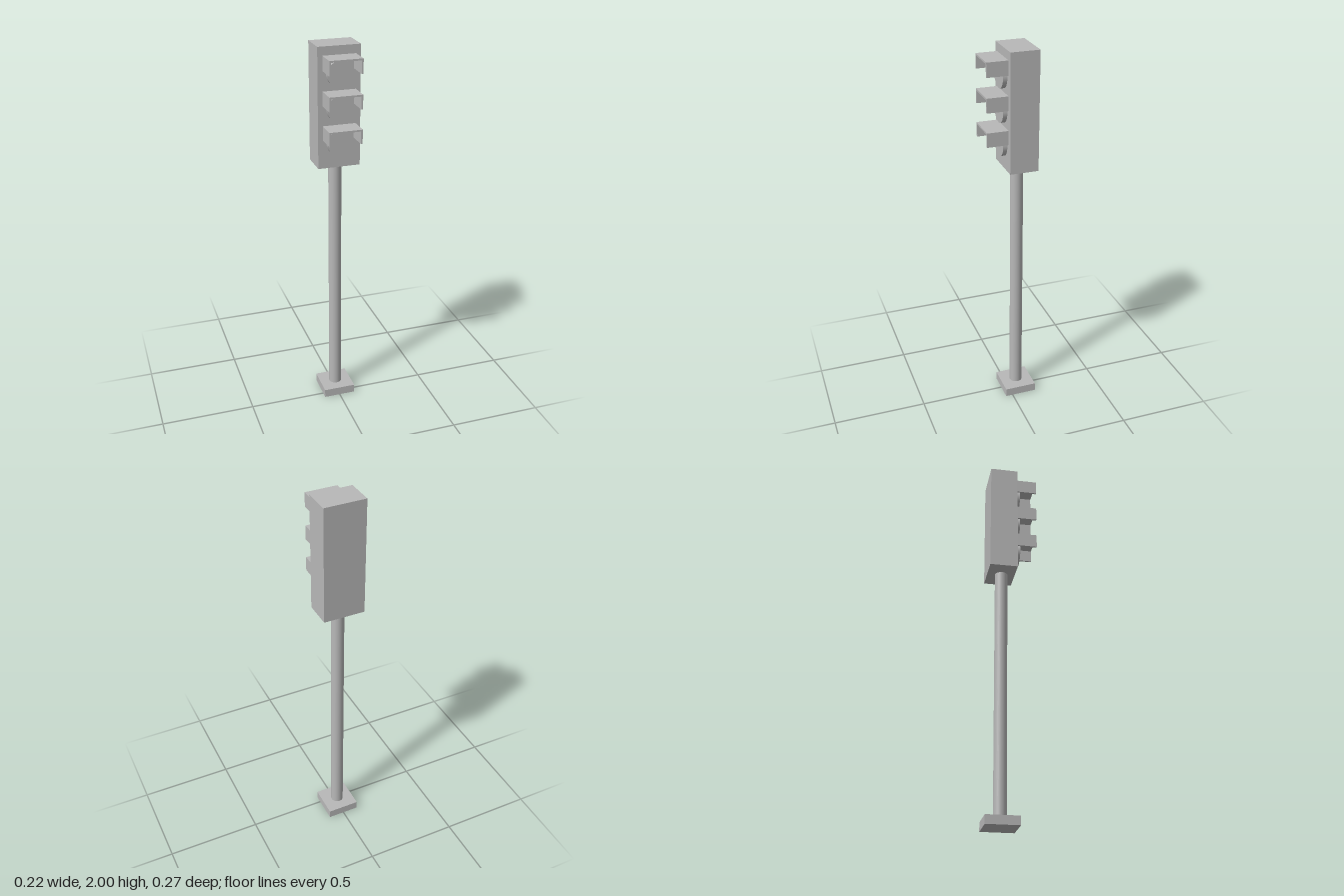
import * as THREE from 'three';

export function createModel() {
  const model = new THREE.Group();
  model.name = 'trafficLight';
  const grey = new THREE.MeshStandardMaterial({ color: 0xb8b8b8 });
  grey.name = 'grey';

  const add = (parent, name, geometry, x, y, z) => {
    const mesh = new THREE.Mesh(geometry, grey);
    mesh.name = name;
    mesh.position.set(x, y, z);
    parent.add(mesh);
    return mesh;
  };
  const box = (w, h, d) => new THREE.BoxGeometry(w, h, d);

  // Foot plate, pole and signal housing share one axis behind the centre
  const axisZ = -0.048;
  const housingBottom = 1.384;
  add(model, 'footPlate', box(0.174, 0.046, 0.174), 0, 0.023, axisZ);
  add(model, 'pole', new THREE.CylinderGeometry(0.034, 0.034, housingBottom - 0.046, 32),
    0, (housingBottom + 0.046) / 2, axisZ);
  add(model, 'housing', box(0.22, 2 - housingBottom, 0.15), 0, (2 + housingBottom) / 2, -0.05);

  // Three lamps, each a round lens under a three-sided visor
  const frontZ = 0.025, visorDepth = 0.11, lensDepth = 0.022;
  const visorZ = frontZ + visorDepth / 2;
  ['topLamp', 'middleLamp', 'bottomLamp'].forEach((name, i) => {
    const lamp = new THREE.Group();
    lamp.name = name;
    lamp.position.y = 1.866 - i * 0.175;
    model.add(lamp);

    const lens = add(lamp, 'lens', new THREE.CylinderGeometry(0.067, 0.067, lensDepth, 40),
      0, 0, frontZ + lensDepth / 2);
    lens.rotation.x = Math.PI / 2;

    add(lamp, 'visorTop', box(0.17, 0.009, visorDepth), 0, 0.0855, visorZ);
    for (const side of [-1, 1]) {
      add(lamp, side > 0 ? 'visorLeft' : 'visorRight', box(0.009, 0.065, visorDepth),
        side * 0.0805, 0.0485, visorZ);
    }
  });

  return model;
}
